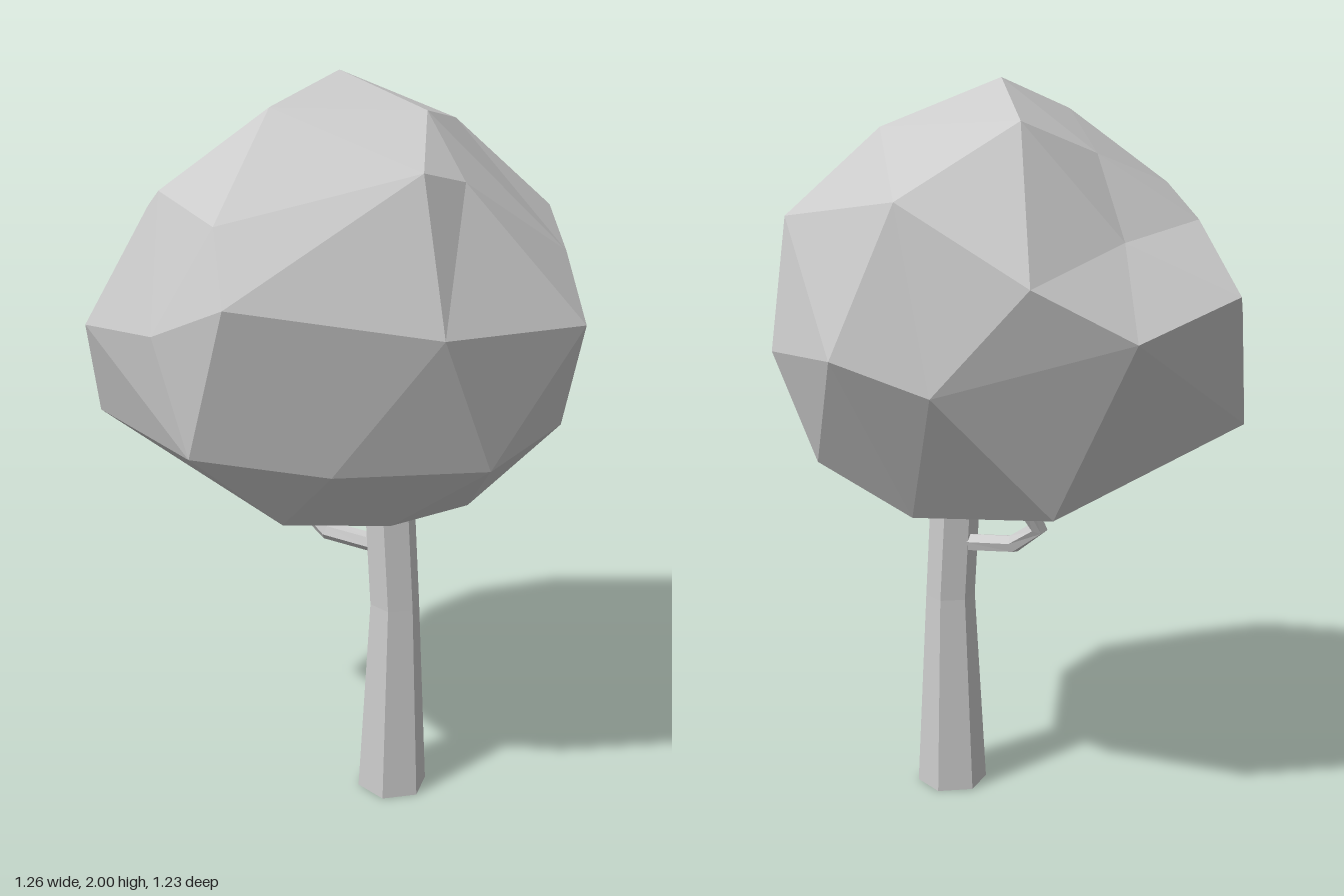
import * as THREE from 'three';
import { ConvexGeometry } from 'three/addons/geometries/ConvexGeometry.js';

const material = new THREE.MeshStandardMaterial({ color: 0xcccccc, flatShading: true });

// Closed, faceted limb through stations [x, y, z, radius]
function limb(name, stations, sides, turn, upright) {
  const centres = stations.map(([x, y, z]) => new THREE.Vector3(x, y, z));
  const up = new THREE.Vector3(0, 1, 0);
  const positions = [];
  const index = [];
  const last = stations.length - 1;
  centres.forEach((c, i) => {
    const tangent = centres[Math.min(i + 1, last)].clone().sub(centres[Math.max(i - 1, 0)]).normalize();
    const q = new THREE.Quaternion().setFromUnitVectors(up, upright ? up : tangent);
    for (let k = 0; k < sides; k++) {
      const a = turn + (k / sides) * Math.PI * 2;
      const r = stations[i][3];
      const p = new THREE.Vector3(Math.sin(a) * r, 0, Math.cos(a) * r).applyQuaternion(q).add(c);
      positions.push(p.x, p.y, p.z);
      const n = (k + 1) % sides;
      const row = i * sides;
      if (i < last) index.push(row + k, row + n, row + sides + n, row + k, row + sides + n, row + sides + k);
    }
  });
  for (let k = 1; k < sides - 1; k++) {
    index.push(0, k + 1, k);
    index.push(last * sides, last * sides + k, last * sides + k + 1);
  }
  const geometry = new THREE.BufferGeometry();
  geometry.setAttribute('position', new THREE.Float32BufferAttribute(positions, 3));
  geometry.setIndex(index);
  const flat = geometry.toNonIndexed();
  flat.computeVertexNormals();
  const mesh = new THREE.Mesh(flat, material);
  mesh.name = name;
  return mesh;
}

// Irregular crown: corners are joined by direction from the centre, then moved out to their own distance
function crown() {
  const centre = new THREE.Vector3(0, 1.4, 0);
  const top = [
    [0.035, 2, -0.02], [-0.23, 1.93, 0.19], [0.13, 1.92, 0.3], [0.345, 1.875, 0.03],
    [0.09, 1.885, -0.345], [-0.14, 1.81, -0.255], [0.025, 1.8, 0.505], [0.15, 1.77, 0.47],
  ];
  const upper = [
    [0.4, 1.7, -0.34], [0.58, 1.65, 0.13], [0.466, 1.58, 0.41], [-0.42, 1.68, 0.33],
    [-0.47, 1.73, 0.055], [-0.41, 1.645, -0.28], [-0.15, 1.6, -0.42], [0.14, 1.51, -0.566],
  ];
  const middle = [
    [0.035, 1.435, 0.615], [0.43, 1.43, 0.577], [0.63, 1.3, 0.105], [0.547, 1.32, -0.254],
    [0.34, 1.245, -0.42], [-0.107, 1.38, -0.615], [-0.42, 1.47, -0.51], [-0.632, 1.376, -0.11],
    [-0.547, 1.41, 0.22], [-0.44, 1.51, 0.444],
  ];
  const lower = [
    [0.2, 1.08, 0.55], [0.44, 1.15, 0.47], [0.526, 1.005, 0.055], [-0.177, 1.08, 0.45],
    [-0.484, 1.116, 0.29], [-0.57, 1.1, -0.26], [0.02, 0.915, -0.395], [0.31, 0.875, -0.11],
    [0.3, 0.875, 0.25], [0.05, 0.87, 0.3], [-0.02, 0.86, -0.02], [-0.23, 0.895, 0.25],
  ];
  const corners = [...top, ...upper, ...middle, ...lower].map((p) => new THREE.Vector3(...p).sub(centre));
  const directions = corners.map((c) => c.clone().normalize());
  const geometry = new ConvexGeometry(directions);
  const pos = geometry.attributes.position;
  const v = new THREE.Vector3();
  for (let i = 0; i < pos.count; i++) {
    v.fromBufferAttribute(pos, i);
    let best = 0;
    directions.forEach((d, k) => {
      if (d.distanceToSquared(v) < directions[best].distanceToSquared(v)) best = k;
    });
    v.copy(corners[best]).add(centre);
    pos.setXYZ(i, v.x, v.y, v.z);
  }
  geometry.computeVertexNormals();
  const mesh = new THREE.Mesh(geometry, material);
  mesh.name = 'crown';
  return mesh;
}

export function createModel() {
  const tree = new THREE.Group();
  tree.name = 'tree';
  tree.add(crown());
  // Six-sided trunk, leaning slightly above its bend
  tree.add(limb('trunk', [
    [0.14, 0, 0.14, 0.1],
    [0.14, 0.57, 0.14, 0.07],
    [0.125, 0.9, 0.125, 0.07],
  ], 6, Math.PI / 9, true));
  // Small crooked side branch
  tree.add(limb('branch', [
    [0.1, 0.735, 0.09, 0.026],
    [0.0, 0.75, -0.015, 0.026],
    [-0.05, 0.81, -0.08, 0.026],
    [0.0, 0.885, -0.09, 0.026],
  ], 6, 0, false));
  return tree;
}
